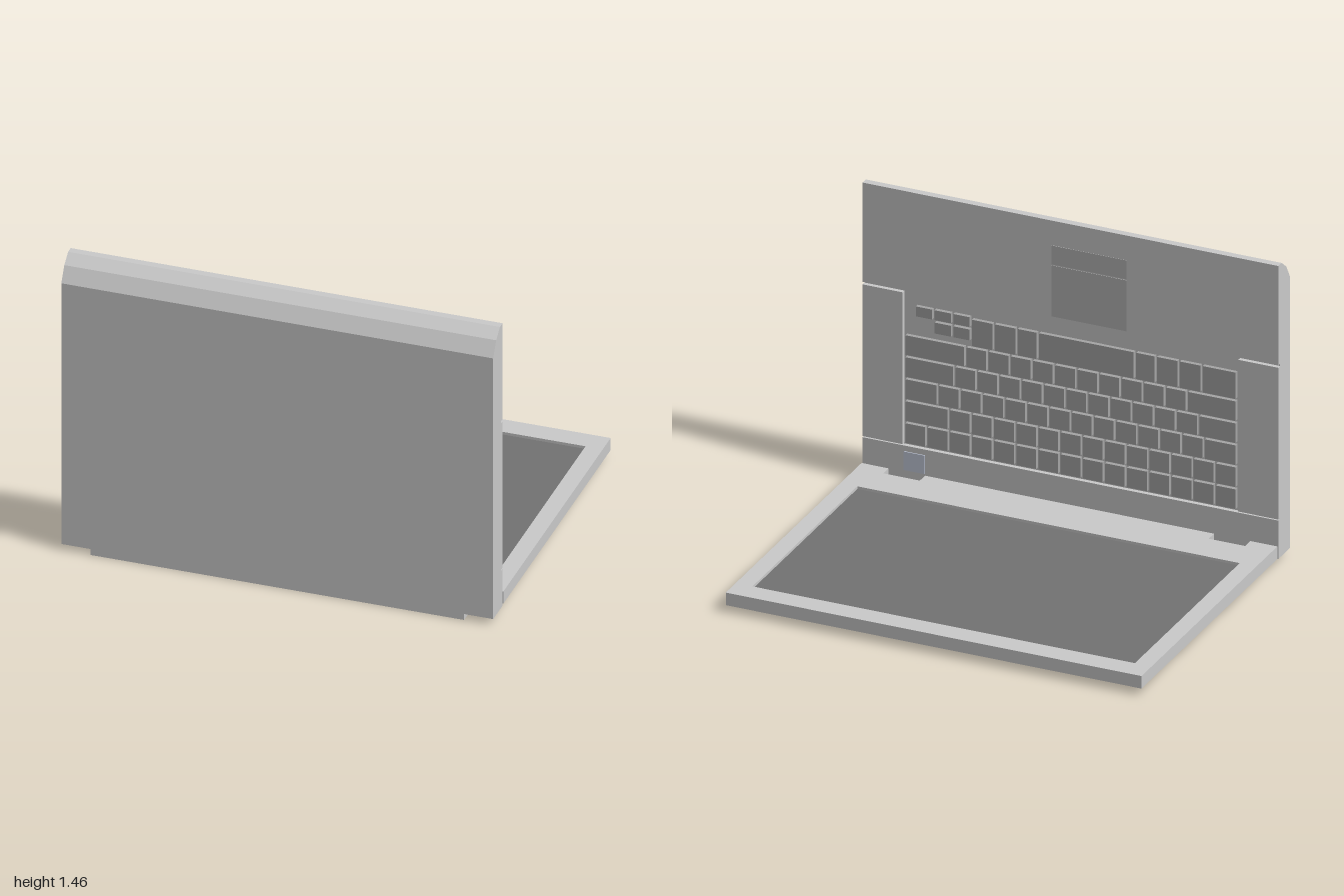
import * as THREE from 'three';

const material = (color) => new THREE.MeshStandardMaterial({ color, flatShading: true });
const grey = material(0xcccccc);
const dark = material(0x737373);
const keyGrey = material(0xa6a6a6);
const padGrey = material(0xb6b6b6);
const buttonBlue = material(0xc4cbdc);

function add(parent, name, geometry, mat = grey) {
  const mesh = new THREE.Mesh(geometry, mat);
  mesh.name = name;
  parent.add(mesh);
  return mesh;
}

// Box given by its lower and upper bounds on each axis
function block(parent, name, [x0, x1], [y0, y1], [z0, z1], mat) {
  const g = new THREE.BoxGeometry(x1 - x0, y1 - y0, z1 - z0);
  g.translate((x0 + x1) / 2, (y0 + y1) / 2, (z0 + z1) / 2);
  return add(parent, name, g, mat);
}

const outline = (points) => new THREE.Shape(points.map(([a, b]) => new THREE.Vector2(a, b)));

// Side profile of [z, y] points, extruded along x
function sideProfile(points, x0, x1) {
  const shape = outline(points.map(([z, y]) => [-z, y]));
  const g = new THREE.ExtrudeGeometry(shape, { depth: x1 - x0, bevelEnabled: false });
  return g.rotateY(Math.PI / 2).translate(x0, 0, 0);
}

// Plan outline of [x, z] points, extruded between two heights
function plate(shape, y0, y1) {
  const g = new THREE.ExtrudeGeometry(shape, { depth: y1 - y0, bevelEnabled: false });
  return g.rotateX(Math.PI / 2).translate(0, y1, 0);
}

function lidOutline() {
  return outline([
    [-1, -0.78], [1, -0.78], [1, 0.645],
    [0.87, 0.645], [0.87, 0.59], [0.695, 0.59], [0.695, 0.645],
    [-0.695, 0.645], [-0.695, 0.59], [-0.87, 0.59], [-0.87, 0.645],
    [-1, 0.645],
  ]);
}

function buildLid() {
  const lid = new THREE.Group();
  lid.name = 'lid';
  add(lid, 'lidBack', plate(lidOutline(), 0.035, 0.08));
  const frame = lidOutline();
  frame.holes.push(new THREE.Path([
    [-0.92, -0.675], [-0.92, 0.425], [0.92, 0.425], [0.92, -0.675],
  ].map(([x, z]) => new THREE.Vector2(x, z))));
  add(lid, 'screenBezel', plate(frame, 0.08, 0.096));
  block(lid, 'screen', [-0.92, 0.92], [0.079, 0.083], [-0.675, 0.425], dark);
  return lid;
}

function buildKeyboard() {
  const keyboard = new THREE.Group();
  keyboard.name = 'keyboard';
  const gap = 0.006;
  const key = (x0, x1, y0, y1) =>
    block(keyboard, 'key', [x0 + gap, x1 - gap], [y0 + gap, y1 - gap], [0.656, 0.676], keyGrey);

  // Key widths of each full row, from +x to -x, scaled to fill the row
  const rows = [
    [1, 1, 1, 1, 1, 1, 1, 1, 1, 1, 1, 1, 1, 1, 1],
    [2, 1, 1, 1, 1, 1, 1, 1, 1, 1, 1, 1, 1, 1],
    [1.5, 1, 1, 1, 1, 1, 1, 1, 1, 1, 1, 1, 1, 1.5],
    [2.25, 1, 1, 1, 1, 1, 1, 1, 1, 1, 1, 1, 1.75],
    [2.75, 1, 1, 1, 1, 1, 1, 1, 1, 1, 1, 2.25],
  ];
  const pitch = 0.107;
  rows.forEach((widths, i) => {
    const total = widths.reduce((a, b) => a + b, 0);
    let x = 0.8;
    for (const w of widths) {
      const next = x - (w / total) * 1.6;
      key(next, x, 0.225 + i * pitch, 0.225 + (i + 1) * pitch);
      x = next;
    }
  });

  // Space bar row
  const edges = [0.48, 0.37, 0.26, 0.157, -0.31, -0.41, -0.52, -0.63, -0.8];
  for (let i = 0; i < edges.length - 1; i++) key(edges[i + 1], edges[i], 0.76, 0.9);

  // Arrow keys
  for (const x of [0.66, 0.57, 0.48]) key(x, x + 0.09, 0.85, 0.91);
  for (const x of [0.57, 0.48]) key(x, x + 0.09, 0.785, 0.85);
  return keyboard;
}

function buildBase() {
  const base = new THREE.Group();
  base.name = 'base';
  // Main shell with the bevelled front edge
  add(base, 'baseShell', sideProfile([
    [0.675, 0.03], [0.78, 0.03], [0.78, 1.345], [0.74, 1.415], [0.69, 1.455], [0.675, 1.455],
  ], -1, 1));

  // Deck panels around the sunken keyboard, parted by narrow grooves
  const deck = [0.655, 0.676];
  block(base, 'palmRest', [-1, 1], [0.972, 1.455], deck);
  block(base, 'hingePanel', [-1, 1], [0.03, 0.217], deck);
  for (const s of [-1, 1]) {
    const x = s > 0 ? [0.807, 1] : [-1, -0.807];
    block(base, 'sidePanel', x, [0.222, 0.96], deck);
  }

  // Touchpad and its button bar
  block(base, 'touchpad', [-0.27, 0.09], [0.99, 1.238], [0.653, 0.66], padGrey);
  block(base, 'touchpadButton', [-0.27, 0.09], [1.243, 1.335], [0.653, 0.66], padGrey);
  block(base, 'powerButton', [0.7, 0.8], [0.1, 0.19], [0.65, 0.66], buttonBlue);
  base.add(buildKeyboard());
  return base;
}

function buildHinge() {
  const hinge = new THREE.Group();
  hinge.name = 'hinge';
  block(hinge, 'hingeBar', [-0.865, 0.865], [0, 0.03], [0.655, 0.78]);
  for (const s of [-1, 1]) {
    const [x0, x1] = s > 0 ? [0.7, 0.865] : [-0.865, -0.7];
    // Sloped tab reaching into the lid notch
    add(hinge, 'hingeTab', sideProfile([
      [0.595, 0.036], [0.655, 0], [0.655, 0.036],
    ], x0, x1));
    block(hinge, 'hingeTabCap', [x0, x1], [0.036, 0.04], [0.595, 0.638], dark);
  }
  return hinge;
}

export function createModel() {
  const model = new THREE.Group();
  model.name = 'laptop';
  model.add(buildLid(), buildBase(), buildHinge());
  return model;
}
